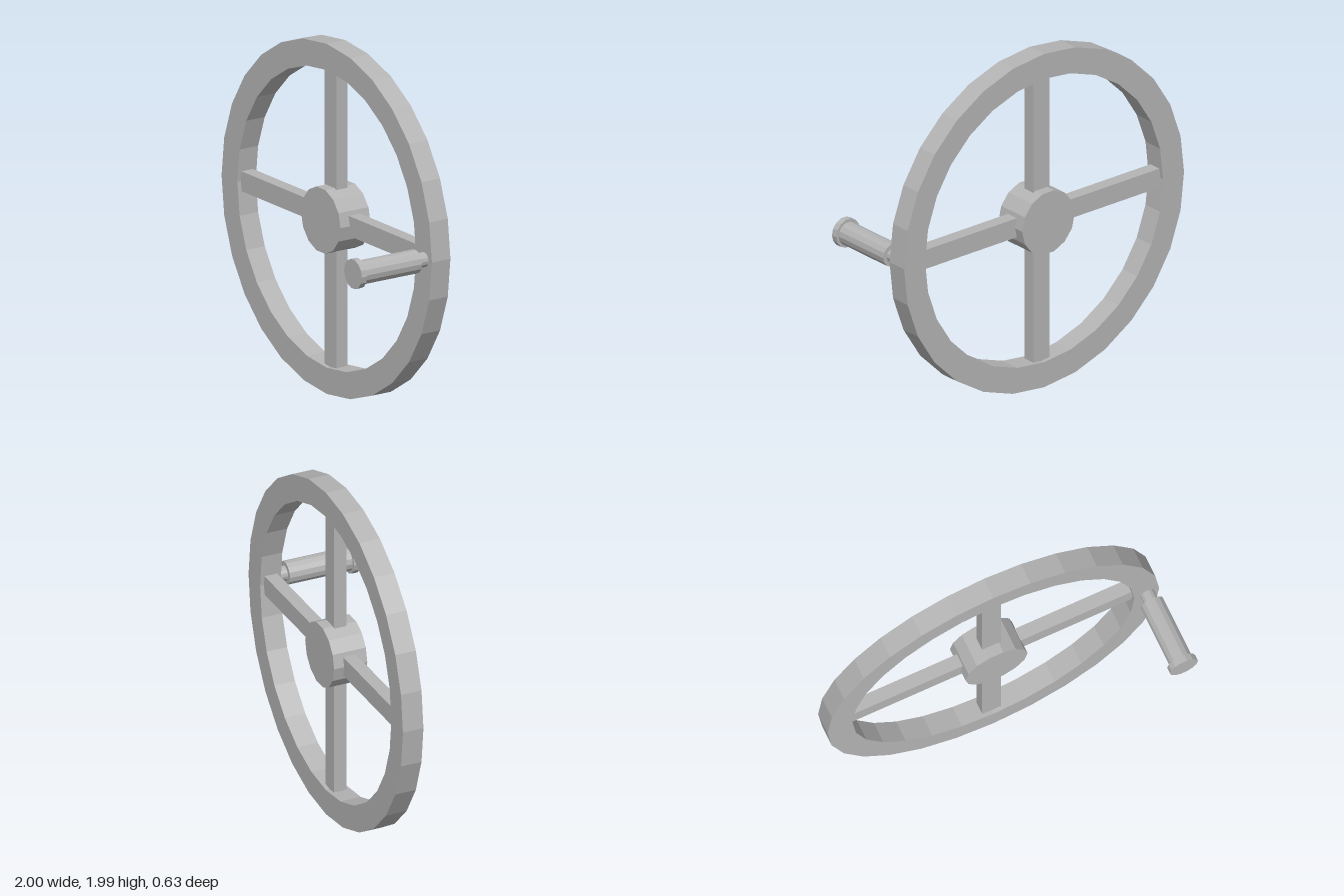
import * as THREE from 'three';

const CX = -0.006, CY = 0.994, RIM_Z = -0.218;

// Regular polygon points with a corner on +x
function ring(radius, sides) {
  return Array.from({ length: sides }, (_, i) => {
    const a = (i / sides) * Math.PI * 2;
    return new THREE.Vector2(Math.cos(a) * radius, Math.sin(a) * radius);
  });
}

export function createModel() {
  const group = new THREE.Group();
  const grey = new THREE.MeshStandardMaterial({ color: 0xb4b4b4, flatShading: true });
  grey.name = 'grey metal';

  function add(name, geometry, x, y, z) {
    const mesh = new THREE.Mesh(geometry, grey);
    mesh.name = name;
    mesh.position.set(x, y, z);
    group.add(mesh);
    return mesh;
  }

  // Faceted cylinder along z, from z0 to z1, with a corner on +x
  function disc(name, radius, z0, z1, x) {
    const geo = new THREE.CylinderGeometry(radius, radius, z1 - z0, 14);
    geo.rotateY(Math.PI / 2).rotateX(Math.PI / 2);
    return add(name, geo, x, CY, (z0 + z1) / 2);
  }

  // Rim: 28-sided ring with a square section
  const depth = 0.123;
  const shape = new THREE.Shape(ring(0.994, 28));
  shape.holes.push(new THREE.Path(ring(0.845, 28)));
  const rim = new THREE.ExtrudeGeometry(shape, { depth, bevelEnabled: false });
  add('rim', rim, CX, CY, RIM_Z - depth / 2);

  // Four spokes, sunk into hub and rim
  for (let i = 0; i < 4; i++) {
    const geo = new THREE.BoxGeometry(0.77, 0.113, 0.076);
    geo.translate(0.485, 0, 0);
    add('spoke' + (i + 1), geo, CX, CY, RIM_Z).rotation.z = (i * Math.PI) / 2;
  }

  // Hub
  disc('hub', 0.186, -0.316, -0.117, CX);

  // Crank handle on the left side of the rim
  disc('handleShaft', 0.042, -0.17, -0.09, 0.915);
  disc('handleGrip', 0.067, -0.096, 0.285, 0.915);
  disc('handleCap', 0.084, 0.28, 0.316, 0.915);

  return group;
}
